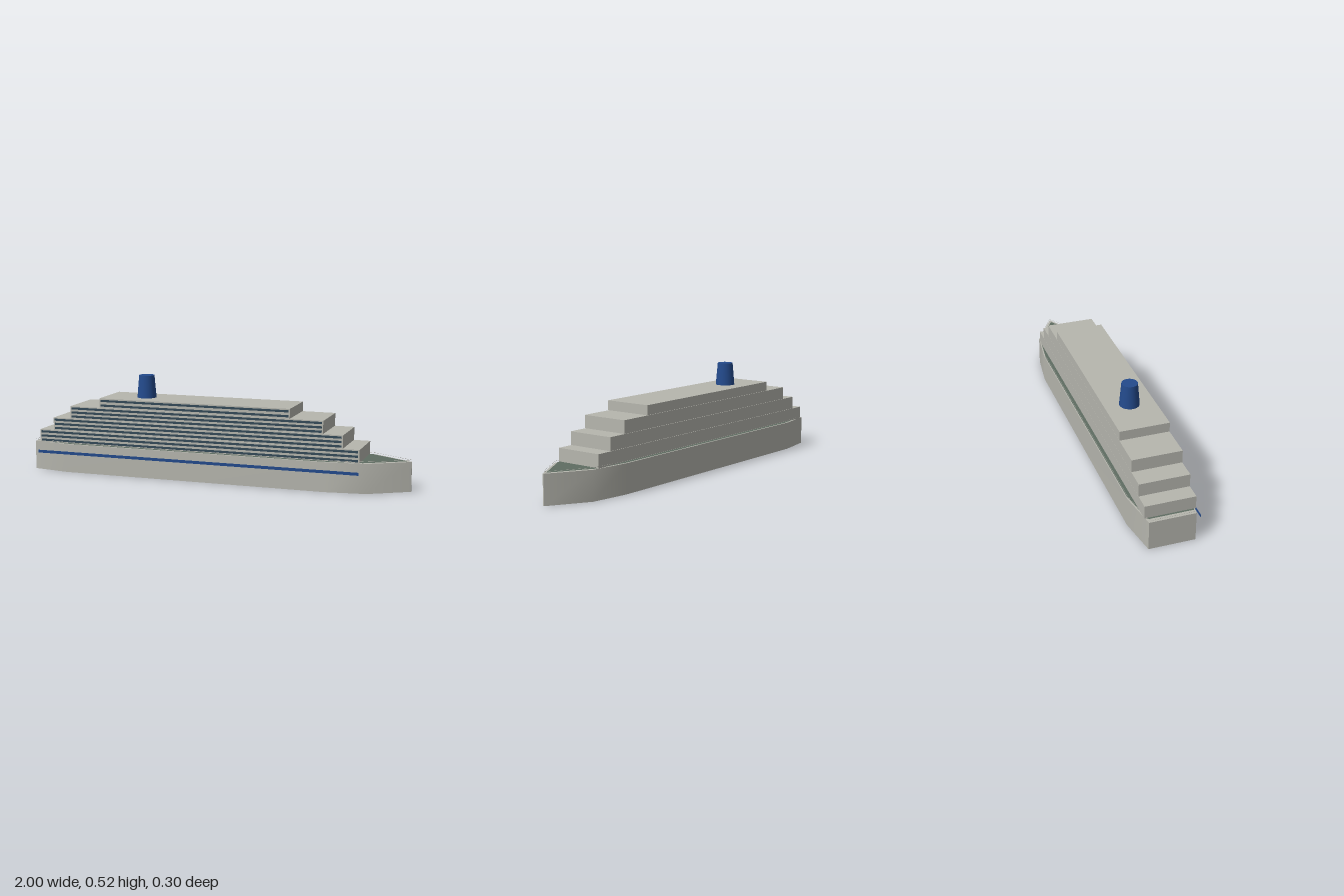
import * as THREE from 'three';

const paint = (name, color, side = THREE.FrontSide) =>
  Object.assign(new THREE.MeshStandardMaterial({ color, side }), { name });

// Half outline of the hull seen from above: [x, half width], stern to bow
const OUTLINE = [[-1, 0.115], [-0.8, 0.149], [0.6, 0.149], [0.8, 0.122], [1, 0.003]];
const HULL_TOP = 0.15;

// Vertical wall standing along a line of [x, z] points, smooth along its length
function wall(points, height) {
  const pos = [], index = [];
  points.forEach(([x, z], i) => {
    pos.push(x, 0, z, x, height, z);
    if (i < points.length - 1) {
      const a = i * 2;
      index.push(a, a + 2, a + 3, a, a + 3, a + 1);
    }
  });
  const g = new THREE.BufferGeometry();
  g.setAttribute('position', new THREE.Float32BufferAttribute(pos, 3));
  g.setIndex(index);
  g.computeVertexNormals();
  return g;
}

export function createModel() {
  const ship = new THREE.Group();
  ship.name = 'cruiseShip';
  const hullGrey = paint('hullGrey', 0xb6b6ae, THREE.DoubleSide);
  const deckGreen = paint('deckGreen', 0x5f6d62, THREE.DoubleSide);
  const windowDark = paint('windowDark', 0x344a58);
  const navyBlue = paint('navyBlue', 0x234a8c);

  const add = (name, geometry, material, x = 0, y = 0, z = 0, parent = ship) => {
    const m = new THREE.Mesh(geometry, material);
    m.name = name;
    m.position.set(x, y, z);
    parent.add(m);
    return m;
  };

  // Hull: two sides, stern and blunt stem, open underneath
  const left = OUTLINE.map(([x, w]) => [x, w]);
  const right = OUTLINE.map(([x, w]) => [x, -w]).reverse();
  add('hullFrontSide', wall(left, HULL_TOP), hullGrey);
  add('hullBackSide', wall(right, HULL_TOP), hullGrey);
  add('stem', wall([left.at(-1), right[0]], HULL_TOP), hullGrey);
  add('stern', wall([right.at(-1), left[0]], HULL_TOP), hullGrey);

  // Hull cap with the slightly smaller green deck on it
  const plan = (s) => {
    const shape = new THREE.Shape([...left, ...right].map(([x, z]) => new THREE.Vector2(x * s, z * s)));
    return new THREE.ShapeGeometry(shape).rotateX(-Math.PI / 2);
  };
  add('hullCap', plan(1), hullGrey, 0, HULL_TOP);
  add('deck', plan(0.975), deckGreen, 0, HULL_TOP + 0.0015);

  // Thin rail above the deck edge
  const loop = [...left, ...right].map(([x, z]) => new THREE.Vector3(x * 0.998, 0.159, z * 0.97));
  const rail = new THREE.CurvePath();
  loop.forEach((p, i) => rail.add(new THREE.LineCurve3(p, loop[(i + 1) % loop.length])));
  add('rail', new THREE.TubeGeometry(rail, 160, 0.0007, 4, true), hullGrey);

  // Stepped cabin tiers: [x start, x end, bottom, top, window rows]
  const tiers = [
    [-0.965, 0.765, 0.150, 0.217, 3],
    [-0.885, 0.682, 0.218, 0.284, 3],
    [-0.785, 0.582, 0.285, 0.350, 3],
    [-0.617, 0.412, 0.351, 0.400, 2],
  ];
  tiers.forEach(([x0, x1, y0, y1, rows], t) => {
    const tier = new THREE.Group();
    tier.name = `tier${t + 1}`;
    ship.add(tier);
    const cx = (x0 + x1) / 2, len = x1 - x0, h = y1 - y0;
    add('cabins', new THREE.BoxGeometry(len, h, 0.25), hullGrey, cx, (y0 + y1) / 2, 0, tier);
    // Window bands on the front side
    for (let r = 0; r < rows; r++) {
      add('windowBand', new THREE.BoxGeometry(len - 0.014, 0.011, 0.002), windowDark,
        cx, y0 + h * (r + 0.5) / rows, 0.1255, tier);
    }
  });

  // Straight blue stripe along the front side of the hull
  add('hullStripe', new THREE.BoxGeometry(1.735, 0.015, 0.001), navyBlue, -0.1, 0.102, 0.1498);

  // Funnel
  add('funnel', new THREE.CylinderGeometry(0.04, 0.05, 0.117, 32), navyBlue, -0.4, 0.4585, 0);

  return ship;
}
